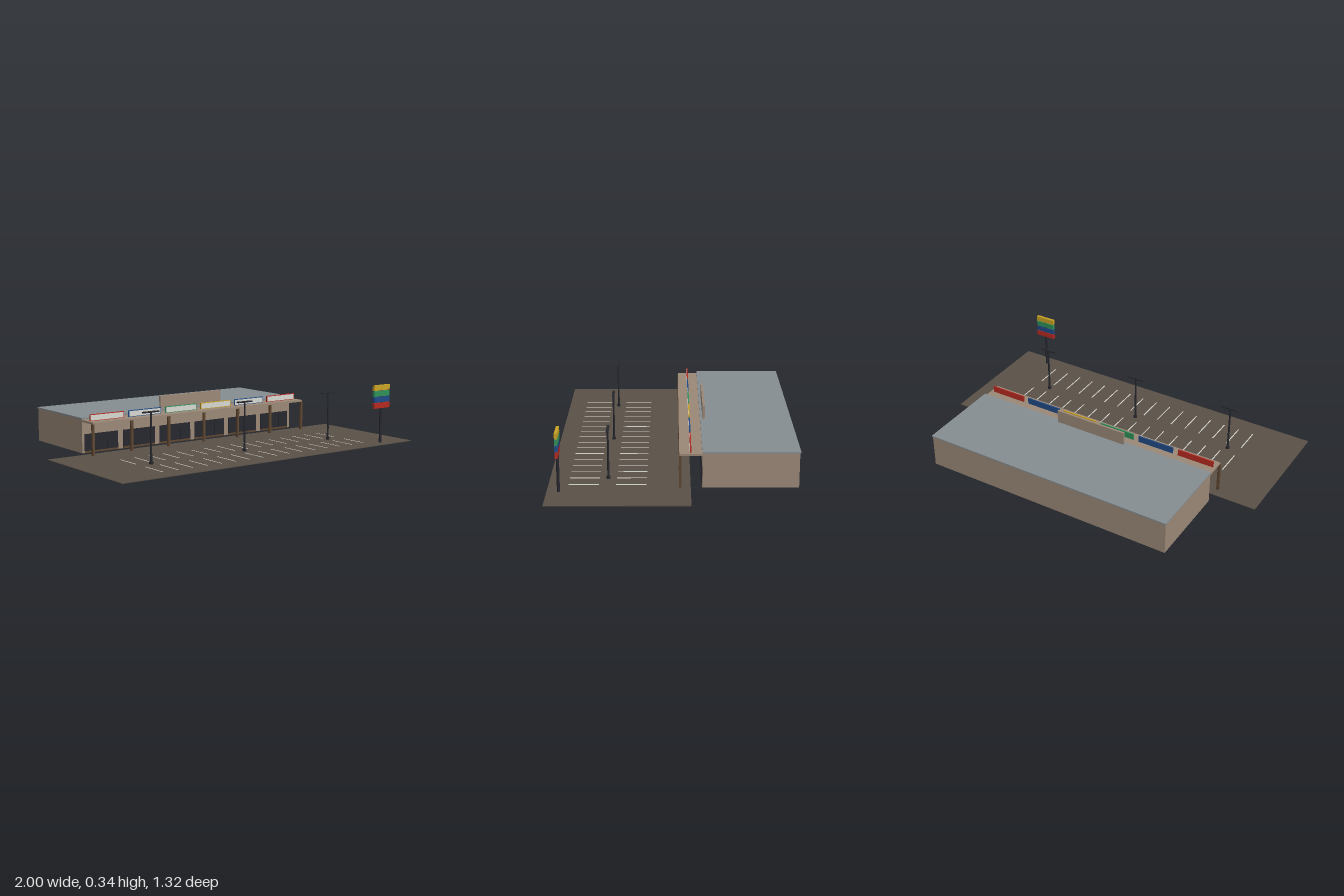
import * as THREE from 'three';

const mat = (name, hex) => {
  const m = new THREE.MeshStandardMaterial({ color: hex });
  m.name = name;
  return m;
};

export function createModel() {
  const group = new THREE.Group();
  group.name = 'stripMall';

  const asphalt = mat('asphalt', 0x5a5047);
  const white = mat('white', 0xd8d8d2);
  const wall = mat('tanWall', 0x9a8877);
  const roofGrey = mat('roofGrey', 0x868d91);
  const brown = mat('brownTimber', 0x5e4630);
  const dark = mat('darkMetalAndGlass', 0x25272e);
  const red = mat('signRed', 0xb52a20);
  const blue = mat('signBlue', 0x1f4a86);
  const green = mat('signGreen', 0x2f9058);
  const yellow = mat('signYellow', 0xc9a224);

  // Box given by its ranges on each axis
  const box = (name, m, x0, x1, y0, y1, z0, z1, parent = group) => {
    const mesh = new THREE.Mesh(new THREE.BoxGeometry(x1 - x0, y1 - y0, z1 - z0), m);
    mesh.position.set((x0 + x1) / 2, (y0 + y1) / 2, (z0 + z1) / 2);
    mesh.name = name;
    parent.add(mesh);
    return mesh;
  };
  const post = (name, m, x, z, y0, y1, rTop, rBottom, parent) => {
    const mesh = new THREE.Mesh(new THREE.CylinderGeometry(rTop, rBottom, y1 - y0, 12), m);
    mesh.position.set(x, (y0 + y1) / 2, z);
    mesh.name = name;
    parent.add(mesh);
  };

  // Parking lot with two rows of bay lines
  box('parkingLot', asphalt, -1, 1, 0, 0.004, -0.09, 0.655);
  const lines = new THREE.Group();
  lines.name = 'parkingLines';
  group.add(lines);
  for (let i = 0; i < 16; i++) {
    const x = -0.69 + i * 0.0938;
    for (const z of [0.14, 0.39]) {
      box('bayLine', white, x - 0.003, x + 0.003, 0.004, 0.0052, z, z + 0.16, lines);
    }
  }

  // Main building, roof, and raised centre parapet
  box('building', wall, -0.75, 0.75, 0, 0.19, -0.655, -0.15);
  box('roof', roofGrey, -0.753, 0.753, 0.19, 0.199, -0.66, -0.15);
  box('parapet', wall, -0.218, 0.218, 0.195, 0.276, -0.176, -0.163);

  // Walkway canopy on timber columns
  box('canopy', wall, -0.75, 0.75, 0.176, 0.187, -0.15, -0.03);
  for (let i = 0; i < 7; i++) {
    const x = -0.748 + i * 0.2493;
    box('canopyColumn', brown, x - 0.007, x + 0.007, 0, 0.177, -0.042, -0.029);
  }

  // Six shop units: glazing, kick plate and a sign above the canopy
  const signColours = [red, blue, green, yellow, blue, red];
  signColours.forEach((colour, i) => {
    const x = -0.627 + i * 0.25;
    const shop = new THREE.Group();
    shop.name = 'shopUnit';
    group.add(shop);
    box('shopWindow', dark, x - 0.108, x + 0.108, 0.011, 0.106, -0.15, -0.146, shop);
    box('kickPlate', brown, x - 0.108, x + 0.108, 0, 0.011, -0.15, -0.146, shop);
    for (const dx of [-0.036, 0.036]) {
      box('mullion', dark, x + dx - 0.0015, x + dx + 0.0015, 0.011, 0.106, -0.147, -0.144, shop);
    }
    box('shopSign', colour, x - 0.109, x + 0.109, 0.187, 0.224, -0.092, -0.085, shop);
    box('signFace', white, x - 0.105, x + 0.105, 0.19, 0.22, -0.085, -0.0838, shop);
  });

  // Twin-headed lot lamps
  for (const x of [-0.623, 0.001, 0.626]) {
    const lamp = new THREE.Group();
    lamp.name = 'lotLamp';
    group.add(lamp);
    post('lampBase', dark, x, 0.345, 0.004, 0.017, 0.011, 0.011, lamp);
    post('lampPole', dark, x, 0.345, 0.004, 0.28, 0.005, 0.006, lamp);
    box('lampArm', dark, x - 0.051, x + 0.051, 0.278, 0.285, 0.338, 0.352, lamp);
  }

  // Roadside pylon sign
  const pylon = new THREE.Group();
  pylon.name = 'pylonSign';
  group.add(pylon);
  post('pylonPole', dark, 0.81, 0.593, 0.004, 0.335, 0.008, 0.008, pylon);
  [red, blue, green, yellow].forEach((colour, i) => {
    const y = 0.206 + i * 0.0345;
    box('pylonPanel', colour, 0.749, 0.871, y, y + 0.031, 0.585, 0.601, pylon);
  });

  return group;
}
